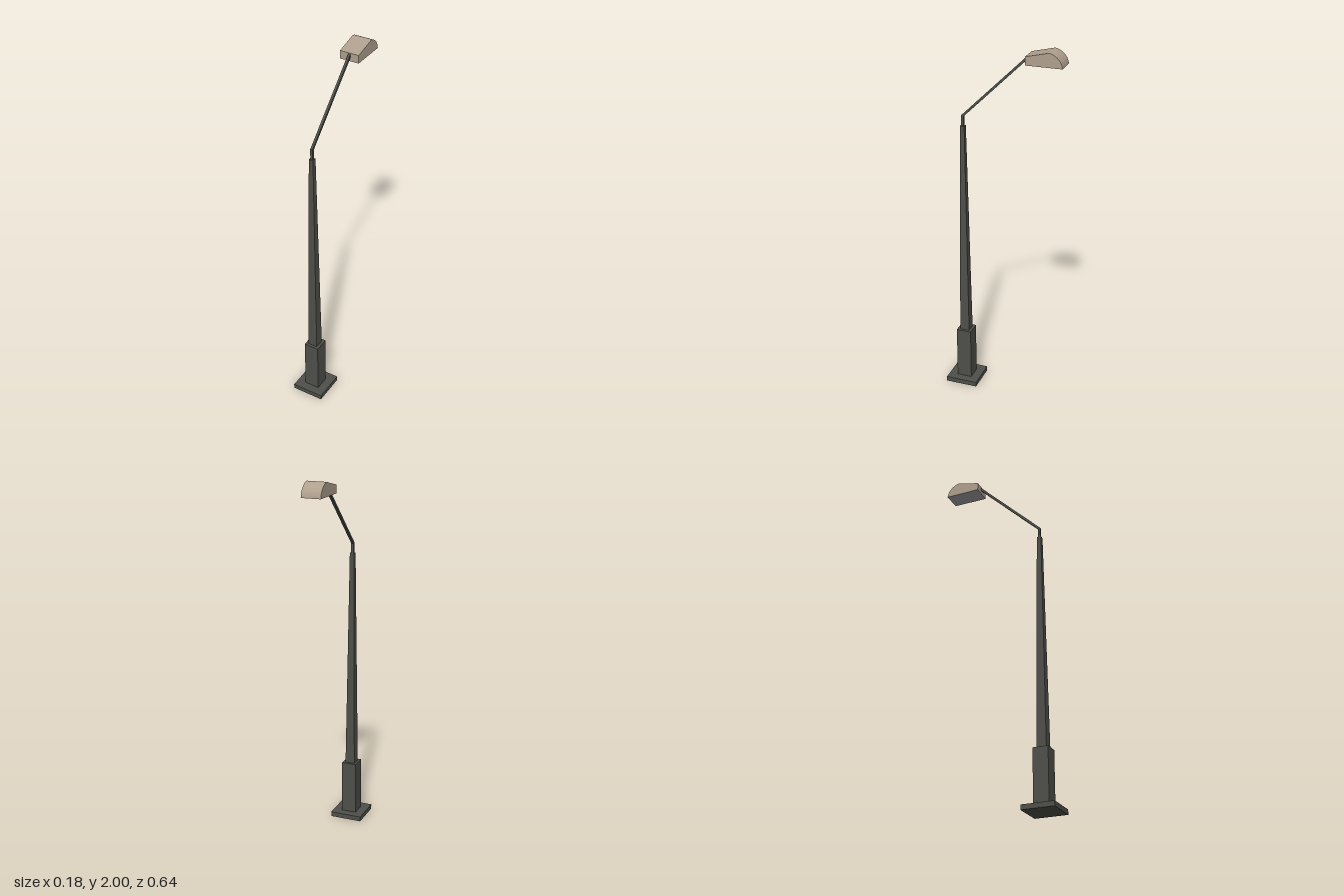
import * as THREE from 'three';
import { toCreasedNormals } from 'three/addons/utils/BufferGeometryUtils.js';

const POLE_Z = 0.23;

function material(name, color) {
  const m = new THREE.MeshStandardMaterial({ color });
  m.name = name;
  return m;
}

// Extrude a side outline (u = -z, y) across the width, centred on x = 0
function extrudeSide(shape, width) {
  const g = new THREE.ExtrudeGeometry(shape, { depth: width, bevelEnabled: false, curveSegments: 14 });
  g.translate(0, 0, -width / 2);
  g.rotateY(Math.PI / 2);
  return toCreasedNormals(g, 0.3);
}

// Square column between two heights, with a half-width at each end
function squareColumn(halfBottom, halfTop, y0, y1) {
  const g = new THREE.CylinderGeometry(halfTop * Math.SQRT2, halfBottom * Math.SQRT2, y1 - y0, 4);
  g.rotateY(Math.PI / 4);
  g.translate(0, (y0 + y1) / 2, POLE_Z);
  return toCreasedNormals(g, 0.3);
}

export function createModel() {
  const group = new THREE.Group();
  group.name = 'streetLamp';
  const metal = material('darkMetal', 0x4f504a);
  const casing = material('beigeCasing', 0xb0a08e);
  const glass = material('greyGlass', 0xa6a7ae);

  const add = (name, geometry, mat) => {
    const mesh = new THREE.Mesh(geometry, mat);
    mesh.name = name;
    group.add(mesh);
  };

  // Foot, pedestal and tapering pole
  add('basePlate', squareColumn(0.09, 0.09, 0, 0.027), metal);
  add('pedestal', squareColumn(0.042, 0.042, 0.027, 0.327), metal);
  add('pole', squareColumn(0.027, 0.012, 0.327, 1.55), metal);

  // Square arm: short upright, mitred bend, long slope up to the lamp
  const h = 0.0065, bendY = 1.605, u = -POLE_Z;
  const endU = 0.135, endY = 1.963;
  const angle = Math.atan2(endY - bendY, endU - u);
  const mitre = h * Math.tan((Math.PI / 2 - angle) / 2);
  const nu = -Math.sin(angle) * h, ny = Math.cos(angle) * h;
  const armShape = new THREE.Shape([
    [u - h, 1.545], [u + h, 1.545], [u + h, bendY - mitre],
    [endU - nu, endY - ny], [endU + nu, endY + ny], [u - h, bendY + mitre],
  ].map(([a, b]) => new THREE.Vector2(a, b)));
  add('arm', extrudeSide(armShape, h * 2), metal);

  // Lamp head: sloped top and rounded far end
  const head = new THREE.Shape();
  head.moveTo(0.127, 1.926);
  head.lineTo(0.321, 1.926);
  head.bezierCurveTo(0.318, 1.965, 0.285, 1.994, 0.25, 2.0);
  head.lineTo(0.127, 1.97);
  head.closePath();
  add('lampHead', extrudeSide(head, 0.106), casing);

  // Glass face underneath
  const lens = new THREE.PlaneGeometry(0.106, 0.194);
  lens.rotateX(Math.PI / 2);
  lens.translate(0, 1.925, -0.224);
  add('lampGlass', lens, glass);

  return group;
}
